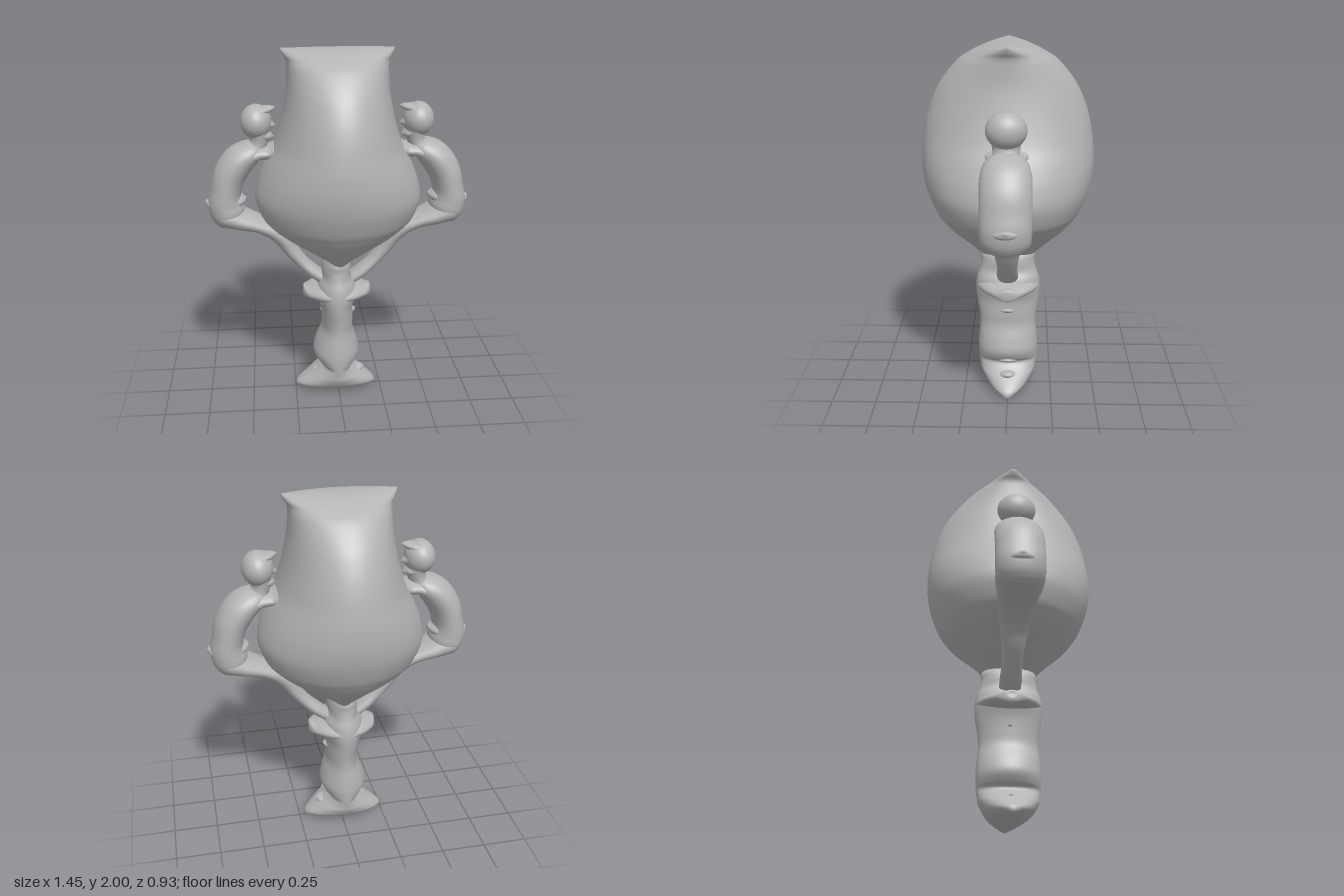
import * as THREE from 'three';

const stone = new THREE.MeshStandardMaterial({ color: 0xb4b4b4 });
stone.name = 'grey stone';

// Smooth loft through rows of [x, y, halfWidth, halfDepth]; sections are ellipses.
// Upright lofts keep their sections level, others turn with the path in the xy plane.
function loft(name, rows, { upright = false, side = 1, around = 40, steps = 6 } = {}) {
  const path = new THREE.CatmullRomCurve3(rows.map(r => new THREE.Vector3(side * r[0], r[1], 0)), false, 'catmullrom', 0.5);
  const size = new THREE.CatmullRomCurve3(rows.map(r => new THREE.Vector3(r[2], r[3], 0)), false, 'catmullrom', 0.5);
  const n = (rows.length - 1) * steps, pos = [], index = [];
  for (let i = 0; i <= n; i++) {
    const p = path.getPoint(i / n), s = size.getPoint(i / n), t = path.getTangent(i / n);
    const nx = upright ? 1 : t.y, ny = upright ? 0 : -t.x;
    for (let j = 0; j < around; j++) {
      const a = (j / around) * Math.PI * 2;
      const w = Math.max(s.x, 0) * Math.cos(a), d = Math.max(s.y, 0) * Math.sin(a);
      pos.push(p.x + nx * w, p.y + ny * w, d);
      if (i < n) {
        const k = (j + 1) % around, A = i * around + j, B = i * around + k;
        index.push(A, A + around, B, B, A + around, B + around);
      }
    }
  }
  const geo = new THREE.BufferGeometry();
  geo.setAttribute('position', new THREE.Float32BufferAttribute(pos, 3));
  geo.setIndex(index);
  geo.computeVertexNormals();
  const mesh = new THREE.Mesh(geo, stone);
  mesh.name = name;
  return mesh;
}

// Figure leaning on the vase, side = +1 (left) or -1 (right)
function figure(side) {
  const g = new THREE.Group();
  g.name = side > 0 ? 'leftFigure' : 'rightFigure';
  const add = (name, rows) => g.add(loft(name, rows, { side, around: 28 }));
  add('torso', [
    [0.4, 1.47, 0, 0], [0.415, 1.468, 0.032, 0.07], [0.46, 1.455, 0.065, 0.11], [0.53, 1.41, 0.085, 0.128],
    [0.585, 1.33, 0.088, 0.13], [0.61, 1.24, 0.084, 0.13], [0.615, 1.17, 0.095, 0.13],
    [0.6, 1.11, 0.095, 0.125], [0.58, 1.06, 0.065, 0.09], [0.575, 1.035, 0, 0],
  ]);
  add('leg', [
    [0.69, 1.16, 0, 0], [0.67, 1.145, 0.04, 0.08], [0.62, 1.115, 0.072, 0.125], [0.54, 1.08, 0.06, 0.12],
    [0.44, 1.045, 0.046, 0.1], [0.36, 1.005, 0.05, 0.085], [0.305, 0.955, 0.05, 0.075],
    [0.26, 0.88, 0.042, 0.062], [0.2, 0.805, 0.036, 0.055], [0.13, 0.74, 0.036, 0.06], [0.06, 0.69, 0.03, 0.05], [0.03, 0.67, 0, 0],
  ]);
  add('knee', [[0.38, 1.02, 0, 0], [0.35, 1.02, 0.04, 0.07], [0.3, 1.0, 0.035, 0.07], [0.26, 0.99, 0, 0]]);
  add('arm', [
    [0.5, 1.43, 0, 0], [0.47, 1.44, 0.05, 0.1], [0.42, 1.452, 0.042, 0.1], [0.37, 1.455, 0.038, 0.1],
    [0.32, 1.465, 0.042, 0.12], [0.28, 1.48, 0, 0],
  ]);
  add('neck', [[0.45, 1.43, 0.06, 0.09], [0.43, 1.49, 0.05, 0.07], [0.42, 1.53, 0.05, 0.07], [0.42, 1.58, 0.06, 0.08]]);
  // Head with fringe, nose and chin facing the vase
  const head = new THREE.Mesh(new THREE.SphereGeometry(1, 32, 24), stone);
  head.name = 'head';
  head.scale.set(0.083, 0.093, 0.104);
  head.position.set(side * 0.435, 1.617, 0);
  g.add(head);
  add('fringe', [[0.43, 1.68, 0.02, 0.07], [0.385, 1.68, 0.022, 0.055], [0.35, 1.688, 0.014, 0.025], [0.33, 1.695, 0, 0]]);
  add('nose', [[0.4, 1.605, 0.035, 0.07], [0.36, 1.6, 0.024, 0.04], [0.33, 1.595, 0, 0]]);
  add('chin', [[0.41, 1.55, 0.03, 0.07], [0.37, 1.54, 0.025, 0.05], [0.34, 1.535, 0, 0]]);
  // Small folds of cloth at the hip
  add('hipFold', [[0.63, 1.17, 0.045, 0.1], [0.69, 1.17, 0.03, 0.07], [0.715, 1.18, 0.013, 0.025], [0.725, 1.185, 0, 0]]);
  add('waistFold', [[0.57, 1.18, 0.05, 0.1], [0.52, 1.19, 0.025, 0.06], [0.5, 1.2, 0, 0]]);
  return g;
}

export function createModel() {
  const model = new THREE.Group();
  model.name = 'figureVase';

  // Vase bowl, closing to a thin flared rim
  model.add(loft('vase', [
    [0, 0.8, 0.02, 0.08], [0, 0.82, 0.05, 0.14], [0, 0.85, 0.09, 0.175], [0, 0.9, 0.17, 0.225],
    [0, 0.95, 0.245, 0.28], [0, 1.0, 0.32, 0.33], [0, 1.05, 0.38, 0.368], [0, 1.1, 0.42, 0.4],
    [0, 1.2, 0.452, 0.44], [0, 1.3, 0.435, 0.461], [0, 1.4, 0.395, 0.465], [0, 1.5, 0.345, 0.456],
    [0, 1.6, 0.312, 0.438], [0, 1.7, 0.288, 0.406], [0, 1.8, 0.272, 0.355], [0, 1.9, 0.268, 0.272],
    [0, 1.94, 0.272, 0.215], [0, 1.965, 0.287, 0.165], [0, 1.985, 0.296, 0.11], [0, 1.996, 0.298, 0.055], [0, 2, 0.296, 0],
  ], { upright: true, around: 72 }));

  // Stem and spreading foot
  model.add(loft('stem', [
    [-0.01, 0, 0.2, 0], [-0.012, 0.006, 0.225, 0.04], [-0.014, 0.022, 0.234, 0.085], [-0.014, 0.05, 0.222, 0.125],
    [-0.01, 0.1, 0.16, 0.156], [-0.01, 0.135, 0.115, 0.163], [-0.008, 0.17, 0.085, 0.168], [-0.01, 0.2, 0.11, 0.17],
    [-0.012, 0.25, 0.132, 0.172], [-0.01, 0.32, 0.118, 0.168], [-0.005, 0.4, 0.09, 0.16], [-0.005, 0.47, 0.09, 0.165],
    [-0.01, 0.55, 0.095, 0.178], [-0.01, 0.62, 0.115, 0.183], [-0.01, 0.68, 0.11, 0.176], [-0.01, 0.73, 0.085, 0.16],
    [-0.01, 0.78, 0.083, 0.15], [-0.01, 0.82, 0.072, 0.15], [-0.01, 0.86, 0.045, 0.12], [-0.01, 0.89, 0, 0],
  ], { upright: true, around: 48 }));

  // Band of small blocks across the stem
  model.add(loft('stemBand', [
    [-0.2, 0.628, 0, 0], [-0.195, 0.628, 0.033, 0.04], [-0.17, 0.63, 0.034, 0.09], [-0.1, 0.635, 0.05, 0.15],
    [-0.01, 0.635, 0.06, 0.18], [0.08, 0.635, 0.05, 0.15], [0.15, 0.63, 0.034, 0.09], [0.18, 0.63, 0.034, 0.04], [0.187, 0.63, 0, 0],
  ]));

  // Ragged edges around the foot and waist of the stem
  for (const s of [-1, 1]) {
    const edge = (name, x, y, r, d) => model.add(loft(name, [
      [x - 0.06, y - 0.01, r, d], [x - 0.02, y, r * 0.6, d * 0.5], [x, y + 0.005, 0, 0],
    ], { side: s, around: 20 }));
    edge('footFold', 0.155, 0.115, 0.03, 0.07);
    edge('ankleFold', 0.115, 0.19, 0.022, 0.08);
    edge('waistEdge', 0.105, 0.5, 0.02, 0.07);
    model.add(figure(s));
  }
  return model;
}
